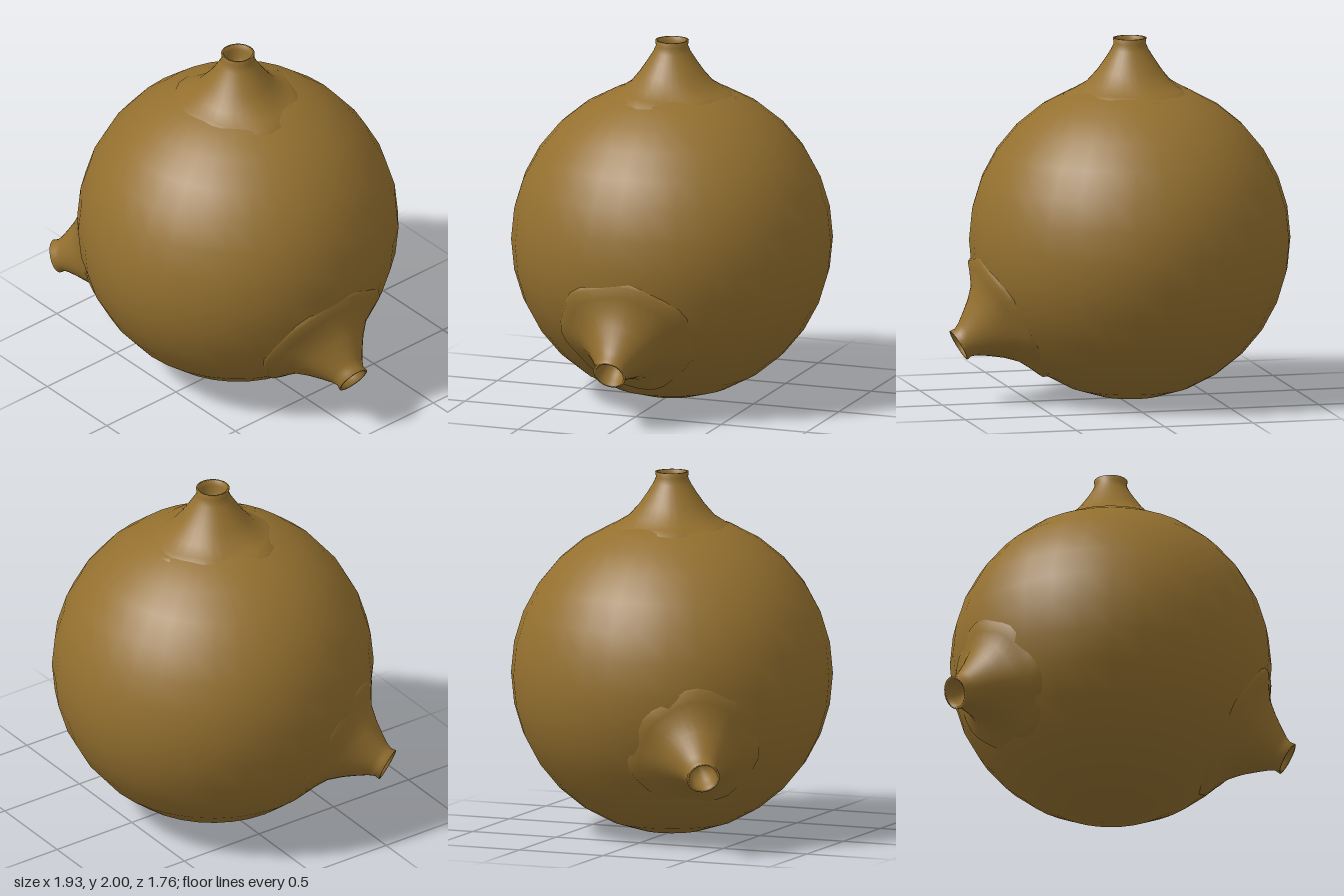
import * as THREE from 'three';

const CENTRE = new THREE.Vector3(-0.06, 0.885, 0);
const RADIUS = 0.882;

// Flared spout along +y, measured from the sphere's centre; the skirt is slightly uneven.
function spoutGeometry(skirtScale, phase) {
  const outer = [
    [0.385, 0.780], [0.375, 0.806], [0.32, 0.832], [0.25, 0.872], [0.19, 0.935],
    [0.14, 1.0], [0.105, 1.05], [0.088, 1.085], [0.092, 1.115],
  ];
  // lip and hollow mouth
  const inner = [[0.078, 1.115], [0.072, 1.085], [0.065, 1.04], [0.05, 1.0], [0.001, 0.985]];
  const scaled = outer.map(([r, d]) => [0.09 + (r - 0.09) * (r > 0.1 ? skirtScale : 1), d]);
  const points = [...scaled, ...inner].map(([r, d]) => new THREE.Vector2(r, d));
  const geometry = new THREE.LatheGeometry(points, 32);

  const pos = geometry.attributes.position;
  for (let i = 0; i < pos.count; i++) {
    const x = pos.getX(i), z = pos.getZ(i);
    const r = Math.hypot(x, z);
    const a = Math.atan2(z, x);
    const weight = THREE.MathUtils.smoothstep(r, 0.12, 0.38);
    const wobble = 1 + weight * (0.03 * Math.sin(3 * a + phase) + 0.025 * Math.sin(7 * a + 2 * phase));
    pos.setX(i, x * wobble);
    pos.setZ(i, z * wobble);
    pos.setY(i, pos.getY(i) + weight * 0.005 * Math.sin(5 * a + phase));
  }
  return geometry;
}

export function createModel() {
  const model = new THREE.Group();
  model.name = 'spoutedBall';
  const material = new THREE.MeshStandardMaterial({ color: 0x94702f, side: THREE.DoubleSide });

  // Round body
  const body = new THREE.Mesh(new THREE.SphereGeometry(RADIUS, 32, 16), material);
  body.name = 'body';
  body.position.copy(CENTRE);
  model.add(body);

  // Three radial spouts: top, left side, right front
  const spouts = [
    { name: 'topSpout', direction: [0, 1, 0], skirt: 0.9, phase: 0.4 },
    { name: 'leftSpout', direction: [0.98, -0.56, 0], skirt: 1, phase: 1.7 },
    { name: 'rightFrontSpout', direction: [-0.845, -0.42, 0.555], skirt: 0.93, phase: 3.1 },
  ];
  const up = new THREE.Vector3(0, 1, 0);
  for (const { name, direction, skirt, phase } of spouts) {
    const spout = new THREE.Mesh(spoutGeometry(skirt, phase), material);
    spout.name = name;
    spout.position.copy(CENTRE);
    spout.quaternion.setFromUnitVectors(up, new THREE.Vector3(...direction).normalize());
    model.add(spout);
  }
  // Smooth the wobbled skirts, keeping the lathe seam continuous
  model.children.forEach((mesh) => {
    if (mesh !== body) smoothSeam(mesh.geometry, 32);
  });
  return model;
}

// Recomputes normals and averages them across the lathe seam.
function smoothSeam(geometry, segments) {
  geometry.computeVertexNormals();
  const normal = geometry.attributes.normal;
  const rows = normal.count / (segments + 1);
  const a = new THREE.Vector3(), b = new THREE.Vector3();
  for (let i = 0; i < rows; i++) {
    const j = segments * rows + i;
    a.fromBufferAttribute(normal, i).add(b.fromBufferAttribute(normal, j)).normalize();
    normal.setXYZ(i, a.x, a.y, a.z);
    normal.setXYZ(j, a.x, a.y, a.z);
  }
}
